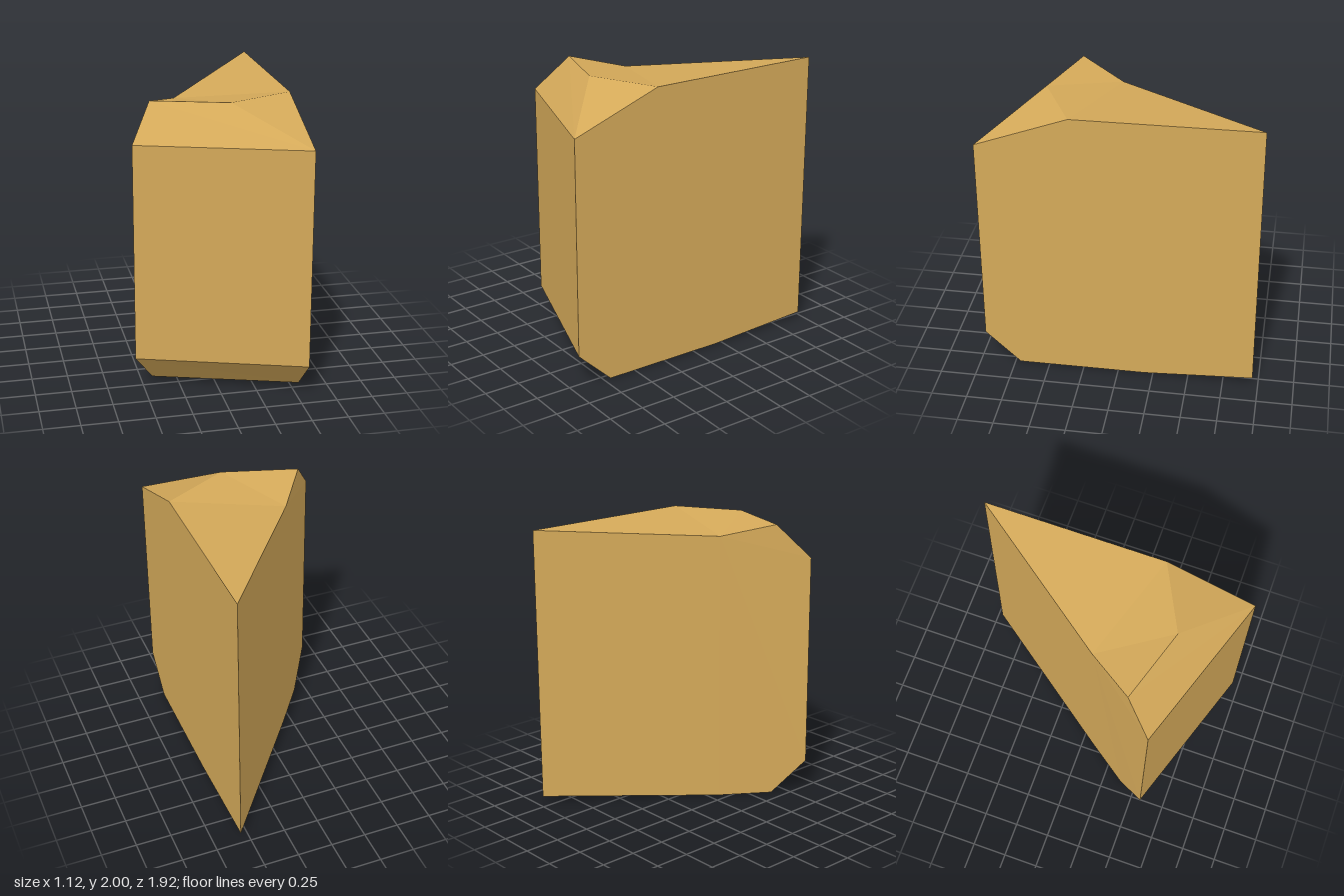
import * as THREE from 'three';

// Corner points: t = upper rim, b = lower rim
const P = {
  backT: [0.56, 2, -0.96], backB: [0.56, 0.05, -0.96],
  leftT: [-0.565, 1.76, 0.585], leftB: [-0.565, 0.245, 0.585],
  rightT: [0.56, 1.76, 0.957], rightB: [0.56, 0.245, 0.957],
  crestLeft: [-0.415, 2, 0.39], crestMid: [0.1, 2, 0.55],
  crestRight: [0.56, 1.995, 0.32], notch: [-0.19, 1.928, 0.07],
  baseLeft: [-0.415, 0.003, 0.385], baseRight: [0.56, 0.01, 0.71],
  baseSide: [0.56, 0.01, -0.19], baseBack: [-0.19, 0, 0.07],
};

// Each face is a fan around its first corner
function facetMesh(name, faces, material) {
  const positions = [];
  for (const face of faces) {
    const c = face.split(' ').map((key) => P[key]);
    for (let i = 1; i < c.length - 1; i++) positions.push(...c[0], ...c[i], ...c[i + 1]);
  }
  const geometry = new THREE.BufferGeometry();
  geometry.setAttribute('position', new THREE.Float32BufferAttribute(positions, 3));
  geometry.computeVertexNormals();
  const mesh = new THREE.Mesh(geometry, material);
  mesh.name = name;
  return mesh;
}

export function createModel() {
  const group = new THREE.Group();
  group.name = 'stoneWedge';
  const sandstone = new THREE.MeshStandardMaterial({ color: 0xd4a959, flatShading: true });
  sandstone.name = 'sandstone';

  // Three upright sides
  group.add(facetMesh('walls', [
    'leftT leftB rightB rightT',
    'backT crestRight rightT rightB baseRight baseSide backB',
    'notch backT backB baseBack baseLeft leftB leftT crestLeft',
  ], sandstone));

  // Chipped top with a shallow notch on the rear edge
  group.add(facetMesh('topFacets', [
    'crestLeft leftT rightT crestMid',
    'crestMid rightT crestRight',
    'crestLeft crestMid notch',
    'crestMid crestRight notch',
    'notch crestRight backT',
  ], sandstone));

  // Bevelled underside
  group.add(facetMesh('underside', [
    'leftB baseLeft baseRight rightB',
    'baseLeft baseBack baseSide baseRight',
    'baseBack backB baseSide',
  ], sandstone));

  return group;
}
